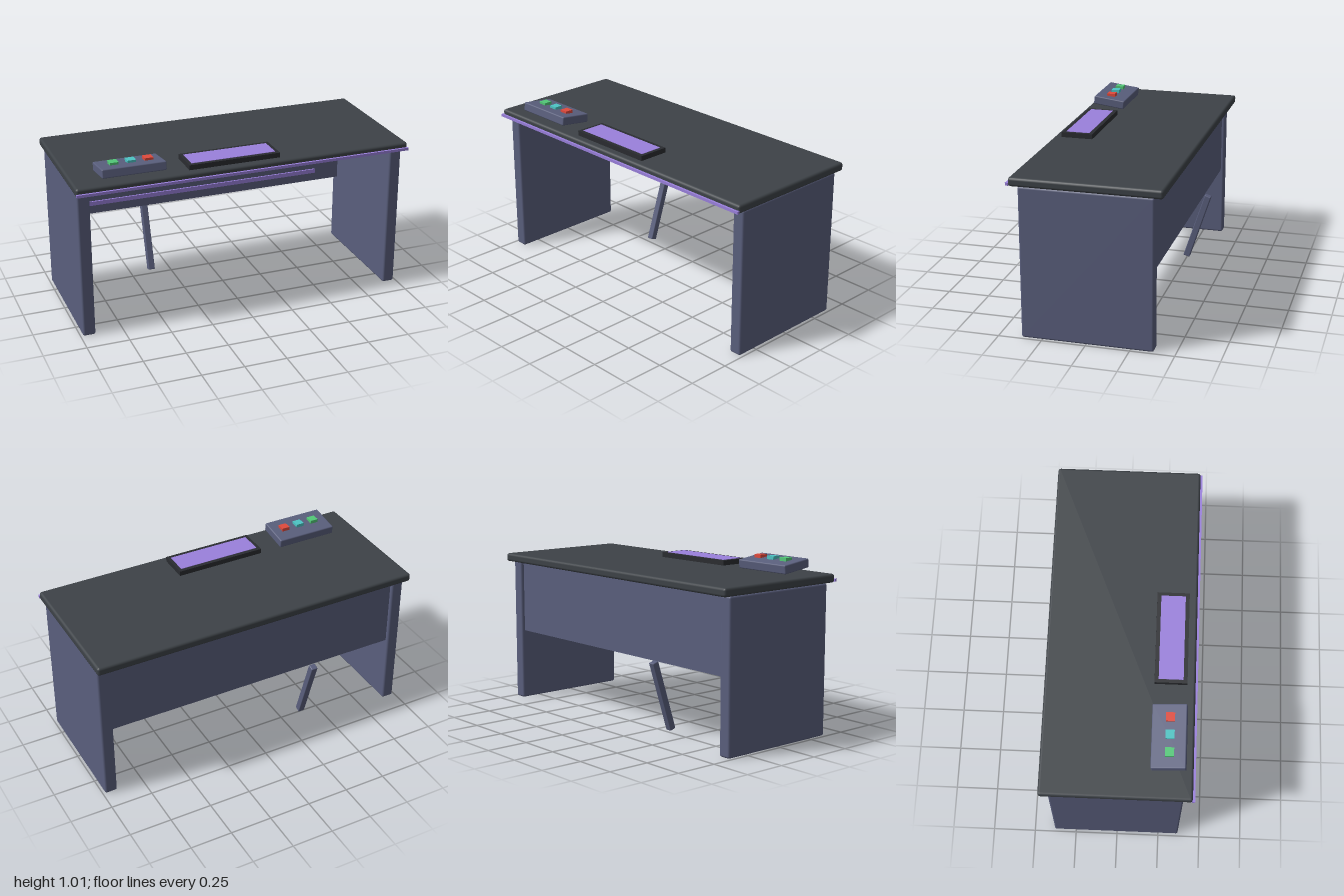
import * as THREE from 'three';
import { RoundedBoxGeometry } from 'three/addons/geometries/RoundedBoxGeometry.js';

const mat = (color) => new THREE.MeshStandardMaterial({ color });
const body = mat(0x5a5f7d), top = mat(0x3d4247), dark = mat(0x2a2c30), glow = mat(0x9a80dc);

export function createModel() {
  const desk = new THREE.Group();
  desk.name = 'desk';

  // box with optional bevel, given by size and centre
  function box(name, size, pos, material, bevel = 0) {
    const geo = bevel
      ? new RoundedBoxGeometry(...size, 2, bevel)
      : new THREE.BoxGeometry(...size);
    const mesh = new THREE.Mesh(geo, material);
    mesh.name = name;
    mesh.position.set(...pos);
    desk.add(mesh);
    return mesh;
  }

  // worktop with light strip along the front edge
  box('worktop', [2, 0.05, 0.85], [0, 0.902, -0.006], top, 0.015);
  box('edgeLight', [2, 0.016, 0.016], [0, 0.89, 0.424], glow);

  // slab legs
  for (const s of [-1, 1]) {
    box(s > 0 ? 'leftLeg' : 'rightLeg', [0.074, 0.877, 0.75], [s * 0.949, 0.4385, -0.005], body, 0.012);
  }

  // back panel with its light bar
  box('backPanel', [1.83, 0.435, 0.04], [0, 0.6525, -0.34], body);
  box('panelLight', [1.5, 0.026, 0.012], [0, 0.502, -0.316], glow);

  // slanted strut, foot towards the front
  const strut = box('strut', [0.04, 0.43, 0.04], [-0.38, 0.231, -0.322], body, 0.005);
  strut.rotation.x = -0.31;

  // tilted control box with three buttons
  const console_ = box('controlBox', [0.37, 0.052, 0.195], [-0.655, 0.964, 0.279], body, 0.007);
  console_.rotation.x = -0.13;
  [0x52c878, 0x4cc4c4, 0xe04a3c].forEach((color, i) => {
    box('button' + (i + 1), [0.05, 0.024, 0.05], [-0.75 + i * 0.1, 0.995, 0.281], mat(color));
  });

  // flat display lying on the worktop
  box('displayFrame', [0.545, 0.03, 0.185], [-0.065, 0.941, 0.279], dark);
  box('displayScreen', [0.505, 0.006, 0.14], [-0.065, 0.955, 0.279], glow);

  return desk;
}
